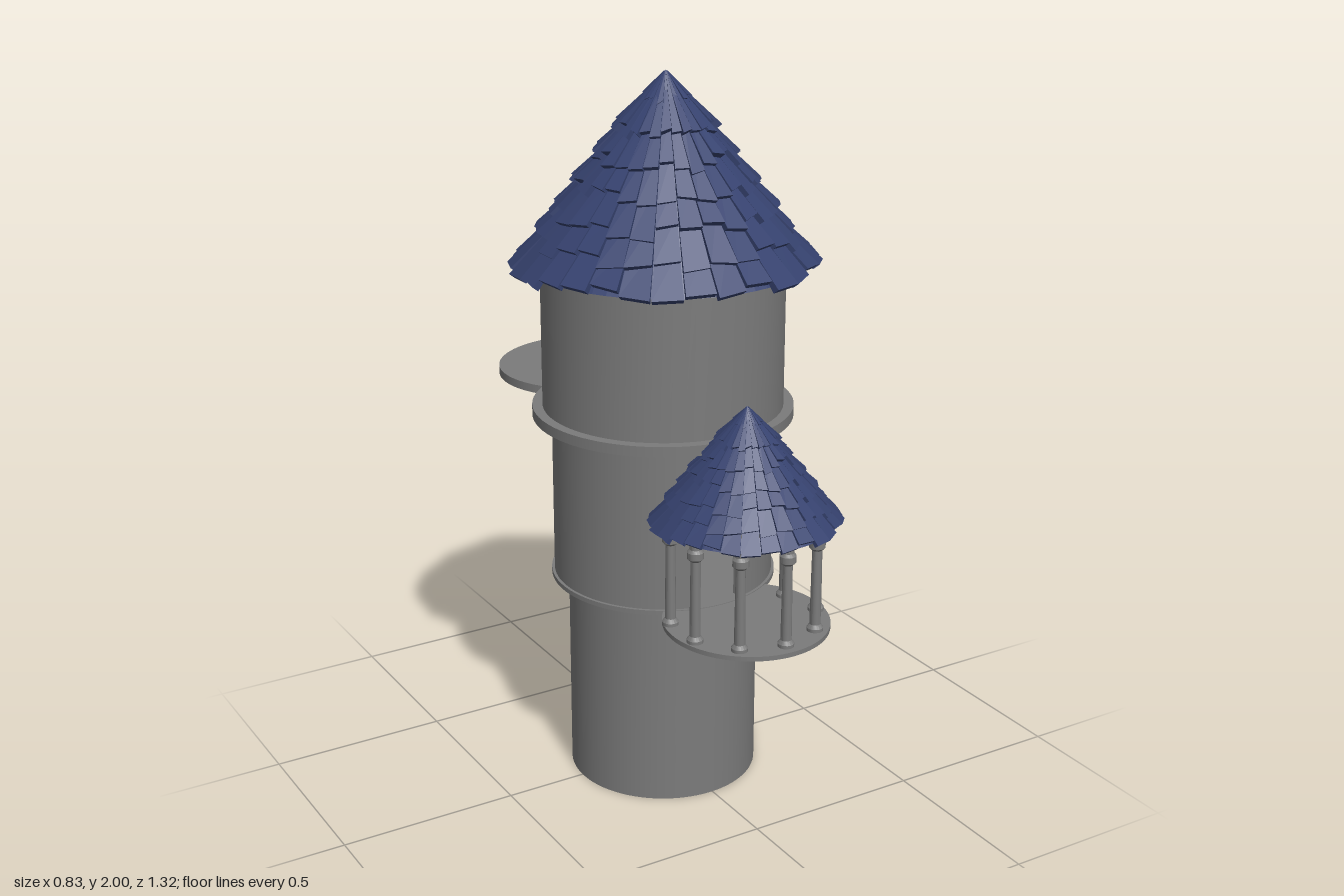
import * as THREE from 'three';
import { mergeGeometries, toCreasedNormals } from 'three/addons/utils/BufferGeometryUtils.js';

const stone = new THREE.MeshStandardMaterial({ color: 0x7b7b7b });
const slate = new THREE.MeshStandardMaterial({ color: 0x36426f, flatShading: true, side: THREE.DoubleSide });
const SLOPE = 1.33;

function add(parent, name, geometry, material, x = 0, y = 0, z = 0) {
  const mesh = new THREE.Mesh(geometry, material);
  mesh.name = name;
  mesh.position.set(x, y, z);
  parent.add(mesh);
}

function seeded(seed) {
  return () => (seed = (seed * 16807) % 2147483647) / 2147483647;
}

// Solid piece of round wall between two angles (0 faces +z, growing towards +x).
// lo(t) and hi give the lower and upper edge, t running from -1 to 1.
function curvedWall(ri, ro, a0, a1, lo, hi, n) {
  const pos = [], index = [];
  for (let i = 0; i <= n; i++) {
    const t = -Math.cos((Math.PI * i) / n);
    const a = (a0 + a1) / 2 + (t * (a1 - a0)) / 2;
    for (const [r, y] of [[ri, lo(t)], [ro, lo(t)], [ro, hi], [ri, hi]]) {
      pos.push(r * Math.sin(a), y, r * Math.cos(a));
    }
    if (i === n) continue;
    for (let j = 0; j < 4; j++) {
      const A = i * 4 + j, D = i * 4 + ((j + 1) % 4);
      index.push(A, A + 4, D + 4, A, D + 4, D);
    }
  }
  const e = n * 4;
  index.push(0, 1, 2, 0, 2, 3, e, e + 2, e + 1, e, e + 3, e + 2);
  const g = new THREE.BufferGeometry();
  g.setAttribute('position', new THREE.Float32BufferAttribute(pos, 3));
  g.setIndex(index);
  return toCreasedNormals(g.toNonIndexed(), 0.6);
}

const arch = (spring, top, w = 1) => (t) => spring + (top - spring) * Math.sqrt(Math.max(0, 1 - (t / w) ** 2));

// One storey: full-height wall between the arched openings, plus wall above and below each
function storey(r, y0, y1, openings) {
  const ri = r - 0.028;
  if (!openings.length) return curvedWall(ri, r, 0, Math.PI * 2, () => y0, y1, 96);
  const parts = [];
  openings.forEach((o, i) => {
    const next = openings[(i + 1) % openings.length];
    const wrap = i === openings.length - 1 ? Math.PI * 2 : 0;
    const h = o.half / r;
    parts.push(curvedWall(ri, r, o.a + h, next.a - next.half / r + wrap, () => y0, y1, 72));
    parts.push(curvedWall(ri, r, o.a - h, o.a + h, arch(o.spring, o.top), y1, 16));
    if (o.sill > y0) parts.push(curvedWall(ri, r, o.a - h, o.a + h, () => y0, o.sill, 8));
  });
  return mergeGeometries(parts);
}

// Conical roof with its apex at the origin: courses of thick, uneven overlapping tiles
function roofTiles() {
  const rand = seeded(4711), count = 30;
  const rims = [0.387, 0.333, 0.28, 0.225, 0.17, 0.115, 0.062];
  const step = (Math.PI * 2) / count, tiles = [];
  rims.forEach((rim, row) => {
    const rTop = Math.max(0.004, rim - 0.085);
    const small = row === 6 ? 0.5 : 1;
    for (let k = 0; k < count; k++) {
      const g = new THREE.BoxGeometry(1, 1, 1);
      const p = g.attributes.position;
      const rBot = rim + (rand() - 0.5) * 0.026;
      const lift = 0.002 + rand() * 0.009, skew = (rand() - 0.5) * 0.016;
      for (let i = 0; i < p.count; i++) {
        const low = p.getY(i) < 0, u = p.getX(i);
        const r = low ? rBot + u * skew : rTop;
        const thick = p.getZ(i) > 0 ? (low ? 0.021 : 0.005) : 0;
        const off = (thick + (low ? lift + u * skew * 0.6 : 0)) * small;
        const a = (k + 0.5 + u * 0.94) * step, rr = r + off * 0.8;
        p.setXYZ(i, rr * Math.sin(a), -SLOPE * r + off * 0.6, rr * Math.cos(a));
      }
      g.computeVertexNormals();
      tiles.push(g);
    }
  });
  return mergeGeometries(tiles);
}

function makeRoof(name, tiles, scale) {
  const roof = new THREE.Group();
  roof.name = name;
  add(roof, 'roofTiles', tiles, slate);
  const h = 0.38 * SLOPE;
  add(roof, 'roofUnderside', new THREE.ConeGeometry(0.38, h, 60, 1, true), slate, 0, -h / 2, 0);
  roof.scale.setScalar(scale);
  return roof;
}

// Flat slab, round or slightly oval
function slab(parent, name, rx, rz, y0, y1, x = 0, z = 0) {
  const g = new THREE.CylinderGeometry(1, 1, y1 - y0, 80).scale(rx, 1, rz);
  add(parent, name, g, stone, x, (y0 + y1) / 2, z);
}

export function createModel() {
  const model = new THREE.Group();
  model.name = 'roundTower';

  // Tower walls
  const tower = new THREE.Group();
  tower.name = 'tower';
  tower.position.set(-0.005, 0, 0.005);
  model.add(tower);
  add(tower, 'lowerWall', storey(0.265, 0, 0.595, []), stone);
  add(tower, 'middleWall', storey(0.305, 0.604, 1.065, [
    { a: 0.015, half: 0.065, sill: 0, spring: 0.835, top: 0.9 },
    { a: 2.065, half: 0.026, sill: 0.76, spring: 0.885, top: 0.91 },
    { a: Math.PI + 0.11, half: 0.026, sill: 0.76, spring: 0.885, top: 0.91 },
  ]), stone);
  add(tower, 'upperWall', storey(0.33, 1.085, 1.54, [
    { a: Math.PI, half: 0.062, sill: 0, spring: 1.285, top: 1.347 },
  ]), stone);
  slab(tower, 'middleFloor', 0.313, 0.313, 0.592, 0.605);
  slab(tower, 'upperFloor', 0.358, 0.358, 1.062, 1.091);

  // Rear landing
  slab(model, 'rearLanding', 0.267, 0.248, 1.065, 1.089, -0.004, -0.413);

  // Front balcony with columns and arcade
  const balcony = new THREE.Group();
  balcony.name = 'balcony';
  balcony.position.set(0.004, 0, 0.41);
  model.add(balcony);
  slab(balcony, 'balconyFloor', 0.222, 0.228, 0.59, 0.603, 0, 0.012);
  const profile = [
    [0.022, 0.6], [0.022, 0.612], [0.015, 0.622], [0.013, 0.832], [0.022, 0.84], [0.022, 0.858],
    [0.016, 0.866], [0.016, 0.885], [0, 0.885],
  ].map(([x, y]) => new THREE.Vector2(x, y));
  const columnShape = toCreasedNormals(new THREE.LatheGeometry(profile, 16).toNonIndexed(), 0.5);
  const bay = Math.PI / 5;
  for (let i = -3; i <= 3; i++) {
    const r = i === 3 ? 0.175 : 0.2; // the last column stands further in
    add(balcony, 'column', columnShape, stone, r * Math.sin(i * bay), 0, r * Math.cos(i * bay));
  }
  const bays = [];
  for (let i = -4; i < 4; i++) {
    bays.push(curvedWall(0.188, 0.208, i * bay, (i + 1) * bay, arch(0.868, 0.916, 0.8), 0.928, 24));
  }
  add(balcony, 'arcade', mergeGeometries(bays), stone);

  // Roofs
  const tiles = roofTiles();
  const mainRoof = makeRoof('mainRoof', tiles, 1);
  mainRoof.position.set(0, 1.998, 0.01);
  model.add(mainRoof);
  const balconyRoof = makeRoof('balconyRoof', tiles, 0.615);
  balconyRoof.position.set(0.002, 1.198, 0);
  balcony.add(balconyRoof);

  return model;
}
